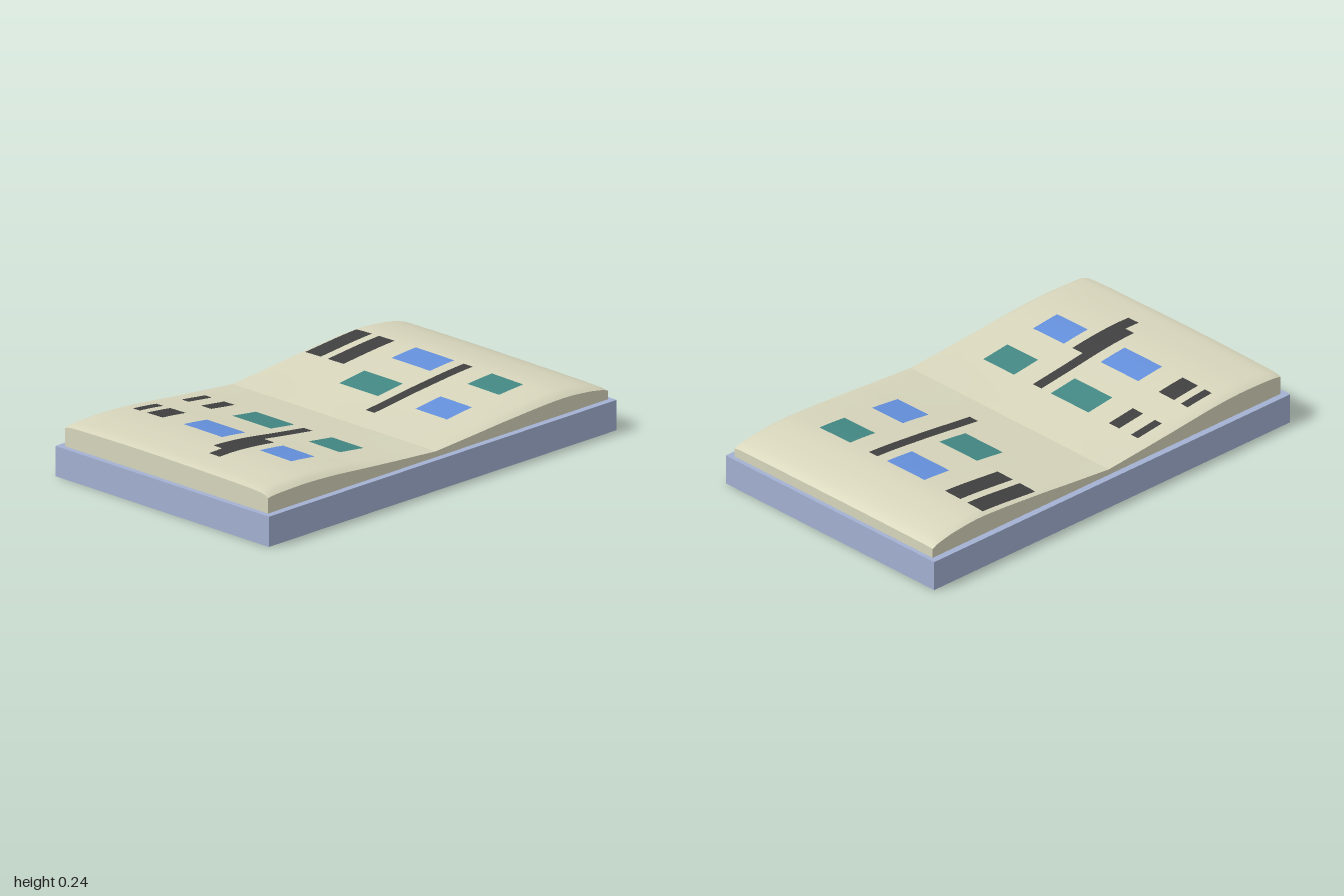
import * as THREE from 'three';

const X = 0.58, BACK = -0.98, FRONT = 0.975, FOLD = 0.01, COVER = 0.13;

// Smooth curve through [position, height] points
function smooth(pts) {
  const last = pts.length - 1;
  const slope = pts.map((p, i) => {
    const a = pts[Math.max(i - 1, 0)], b = pts[Math.min(i + 1, last)];
    return (b[1] - a[1]) / (b[0] - a[0]);
  });
  return (t) => {
    let i = 0;
    while (i < last - 1 && t > pts[i + 1][0]) i++;
    const [a, ya] = pts[i], [b, yb] = pts[i + 1], d = b - a, s = (t - a) / d;
    const s2 = s * s, s3 = s2 * s;
    return ya * (2 * s3 - 3 * s2 + 1) + yb * (3 * s2 - 2 * s3)
      + d * (slope[i] * (s3 - 2 * s2 + s) + slope[i + 1] * (s3 - s2));
  };
}

// Page swell along the length, one curve on each side of the fold
const backSwell = smooth([[BACK, 0.175], [-0.95, 0.192], [-0.85, 0.216], [-0.7, 0.228],
  [-0.4, 0.203], [-0.2, 0.179], [FOLD, 0.155]]);
const frontSwell = smooth([[FOLD, 0.155], [0.2, 0.177], [0.4, 0.202], [0.6, 0.228],
  [0.75, 0.238], [0.88, 0.235], [0.95, 0.229], [FRONT, 0.222]]);
// Drop towards the two long edges
const drop = smooth([[-X, 0.017], [-0.56, 0.009], [-0.5, 0.005], [-0.2, 0], [0, 0.001],
  [0.4, 0.007], [0.5, 0.011], [0.55, 0.017], [X, 0.033]]);

function pageHeight(x, z) {
  const y = z < FOLD ? backSwell(z) : frontSwell(z);
  return y - drop(x) * (y - 0.155) / 0.083;
}

// Grid surface from point(u, v), u and v from 0 to 1
function grid(nu, nv, point) {
  const pos = [], idx = [];
  for (let i = 0; i <= nu; i++)
    for (let j = 0; j <= nv; j++) {
      pos.push(...point(i / nu, j / nv));
      if (i < nu && j < nv) {
        const a = i * (nv + 1) + j, b = a + 1, c = a + nv + 1, d = c + 1;
        idx.push(a, b, d, a, d, c);
      }
    }
  const g = new THREE.BufferGeometry();
  g.setAttribute('position', new THREE.Float32BufferAttribute(pos, 3));
  g.setIndex(idx);
  g.computeVertexNormals();
  return g;
}

const mix = THREE.MathUtils.lerp;

// Piece of the page surface over a rectangle
function sheet(x0, x1, z0, z1, lift, step) {
  const nu = Math.ceil((x1 - x0) / step), nv = Math.ceil((z1 - z0) / step);
  return grid(nu, nv, (u, v) => {
    const x = mix(x0, x1, u), z = mix(z0, z1, v);
    return [x, pageHeight(x, z) + lift, z];
  });
}

// Upright side of the page block between two corners
function wall(x0, z0, x1, z1) {
  return grid(80, 1, (u, v) => {
    const x = mix(x0, x1, u), z = mix(z0, z1, u);
    return [x, v ? COVER - 0.005 : pageHeight(x, z), z];
  });
}

export function createModel() {
  const model = new THREE.Group();
  const paint = (color) => new THREE.MeshStandardMaterial({ color });
  const add = (parent, name, geometry, material) => {
    const mesh = new THREE.Mesh(geometry, material);
    mesh.name = name;
    parent.add(mesh);
    return mesh;
  };

  // Cover
  add(model, 'cover', new THREE.BoxGeometry(1.22, COVER, 2), paint(0xa3b1d2)).position.y = COVER / 2;

  // Open pages, creased at the fold
  const pages = new THREE.Group();
  pages.name = 'pages';
  model.add(pages);
  const paper = paint(0xd8d6bc);
  add(pages, 'backPage', sheet(-X, X, BACK, FOLD, 0, 0.02), paper);
  add(pages, 'frontPage', sheet(-X, X, FOLD, FRONT, 0, 0.02), paper);
  add(pages, 'frontPageEdge', wall(-X, FRONT, X, FRONT), paper);
  add(pages, 'backPageEdge', wall(X, BACK, -X, BACK), paper);
  for (const [a, b] of [[FRONT, FOLD], [FOLD, BACK]]) {
    add(pages, 'leftPageEdge', wall(X, a, X, b), paper);
    add(pages, 'rightPageEdge', wall(-X, b, -X, a), paper);
  }

  // Printed blocks lying on the pages: x from, x to, z from, z to
  const prints = {
    darkBlock: [0x404040, [
      [-0.56, -0.47, -0.68, -0.385], [-0.43, -0.34, -0.68, -0.385], [0.055, 0.105, -0.68, -0.115],
      [-0.51, -0.47, 0.24, 0.375], [-0.4, -0.34, 0.24, 0.375], [-0.51, -0.47, 0.52, 0.655],
      [-0.43, -0.34, 0.52, 0.655], [0.055, 0.105, 0.24, 0.76], [0.105, 0.165, 0.52, 0.835]]],
    blueBlock: [0x6490dc, [
      [-0.22, 0, -0.68, -0.54], [0.215, 0.395, -0.385, -0.24],
      [-0.22, 0, 0.52, 0.655], [0.215, 0.395, 0.52, 0.655]]],
    tealBlock: [0x438884, [
      [0.215, 0.395, -0.68, -0.54], [-0.22, 0, -0.385, -0.24],
      [-0.22, 0, 0.24, 0.375], [0.215, 0.395, 0.24, 0.375]]],
  };
  for (const [name, [color, areas]] of Object.entries(prints)) {
    const ink = paint(color);
    for (const [x0, x1, z0, z1] of areas) add(model, name, sheet(x0, x1, z0, z1, 0.0015, 0.02), ink);
  }
  return model;
}
